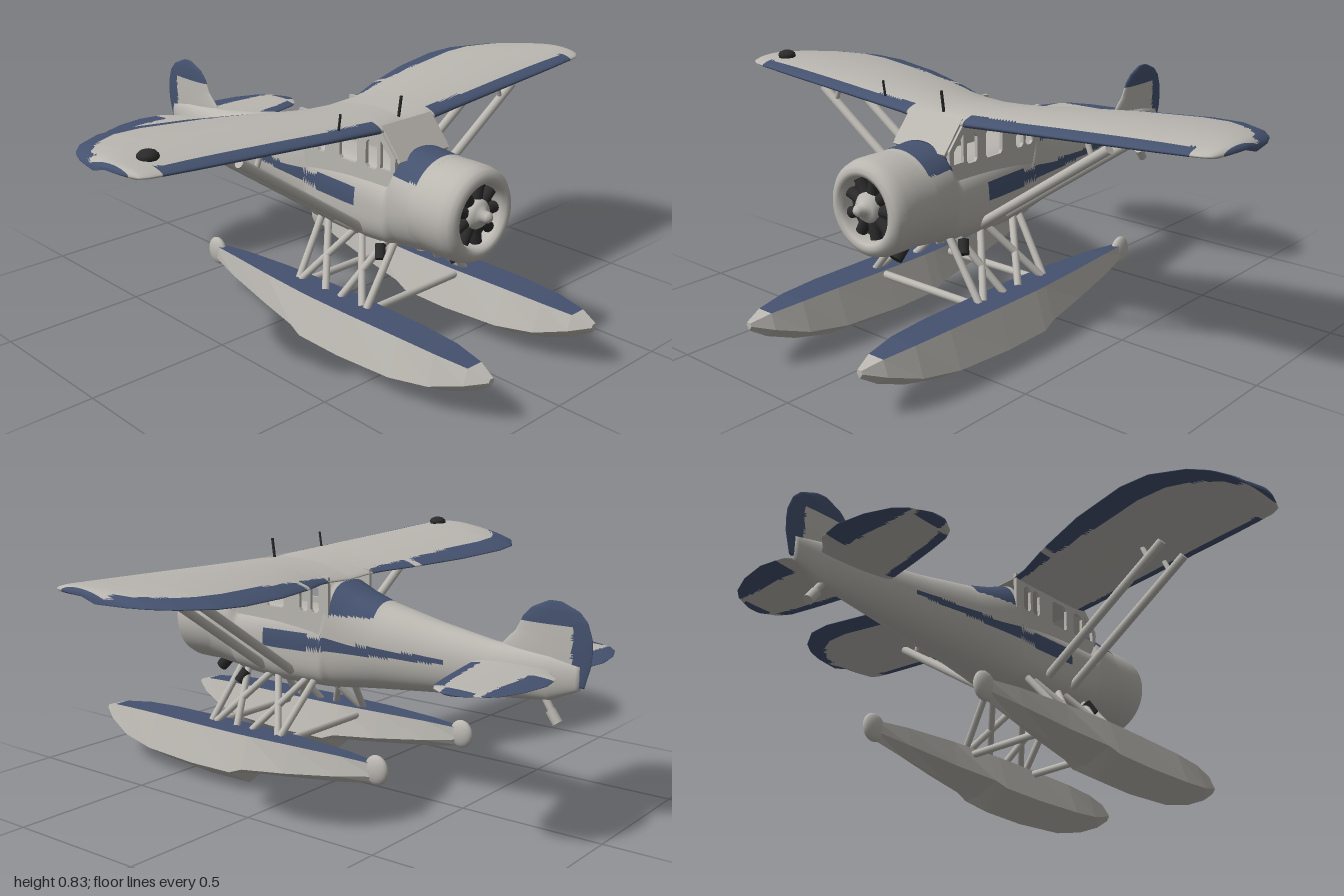
import * as THREE from 'three';

const V = (x, y, z) => new THREE.Vector3(x, y, z);
const mat = (name, color) => Object.assign(new THREE.MeshStandardMaterial({ color }), { name });
const { lerp } = THREE.MathUtils;

// Linear lookup in rows [t, a, b, ...] sorted by rising t
function at(rows, t) {
  let i = 0;
  while (i < rows.length - 2 && t > rows[i + 1][0]) i++;
  const [p, q] = [rows[i], rows[i + 1]];
  const k = THREE.MathUtils.clamp((t - p[0]) / (q[0] - p[0]), 0, 1);
  return p.slice(1).map((v, j) => lerp(v, q[j + 1], k));
}

// Skin over closed rings, with fan caps at both ends
function loft(rings) {
  const n = rings[0].length, pts = rings.flat(), index = [];
  for (let i = 0; i < rings.length - 1; i++) for (let j = 0; j < n; j++) {
    const a = i * n + j, b = i * n + (j + 1) % n;
    index.push(a, b, b + n, a, b + n, a + n);
  }
  [0, rings.length - 1].forEach((r, end) => {
    const mid = rings[r].reduce((s, p) => s.add(p), V(0, 0, 0)).divideScalar(n);
    pts.push(mid);
    for (let j = 0; j < n; j++) {
      const a = r * n + j, b = r * n + (j + 1) % n;
      index.push(pts.length - 1, ...(end ? [a, b] : [b, a]));
    }
  });
  const geo = new THREE.BufferGeometry().setFromPoints(pts);
  geo.setIndex(index);
  geo.computeVertexNormals();
  return geo;
}

// Sort faces into two material groups: 0 plain, 1 where isTrim(centre, normal)
function paint(geo, isTrim) {
  const lists = [[], []], idx = geo.index.array, pos = geo.attributes.position;
  const tri = new THREE.Triangle(), c = V(0, 0, 0), n = V(0, 0, 0);
  for (let i = 0; i < idx.length; i += 3) {
    const f = [idx[i], idx[i + 1], idx[i + 2]];
    tri.setFromAttributeAndIndices(pos, ...f);
    tri.getMidpoint(c);
    tri.getNormal(n);
    lists[isTrim(c, n) ? 1 : 0].push(...f);
  }
  geo.setIndex(lists.flat());
  geo.addGroup(0, lists[0].length, 0);
  geo.addGroup(lists[0].length, lists[1].length, 1);
  return geo;
}

// Rings of a wing-like body; place(t, chord position, half thickness offset, chord fraction)
function foil(from, to, steps, section, place) {
  const rings = [];
  for (let i = 0; i <= steps; i++) {
    const t = lerp(from, to, i / steps), [front, back, thick] = section(t), ring = [];
    for (let j = 0; j < 64; j++) {
      const a = j / 64 * Math.PI * 2, s = Math.sin(a), frac = (1 - s) / 2;
      const h = Math.cos(a) * thick / 2 * (1.15 - 0.55 * frac);
      ring.push(place(t, lerp(front, back, frac), h, frac));
    }
    rings.push(ring);
  }
  return loft(rings);
}

export function createModel() {
  const model = new THREE.Group();
  model.name = 'floatplane';
  const white = mat('warmWhite', 0xbab7b1), blue = mat('navyBlue', 0x45526f), dark = mat('darkMetal', 0x2b2b2c);
  const two = [white, blue];
  const add = (name, geo, m, x = 0, y = 0, z = 0) => {
    const mesh = new THREE.Mesh(geo, m);
    mesh.name = name;
    mesh.position.set(x, y, z);
    model.add(mesh);
    return mesh;
  };
  const rod = (name, a, b, r, m = white) => {
    const d = b.clone().sub(a), mesh = add(name, new THREE.CylinderGeometry(r, r, d.length(), 12), m);
    mesh.position.copy(a).addScaledVector(d, 0.5);
    mesh.quaternion.setFromUnitVectors(V(0, 1, 0), d.normalize());
  };

  // Fuselage: z, half width, bottom, top, squareness
  const body = [[-0.9, 0.012, 0.47, 0.55, 2], [-0.8, 0.032, 0.425, 0.57, 2], [-0.6, 0.06, 0.405, 0.585, 2],
    [-0.4, 0.083, 0.385, 0.618, 2.1], [-0.2, 0.107, 0.365, 0.66, 2.2], [-0.1, 0.117, 0.355, 0.69, 2.5],
    [-0.01, 0.125, 0.345, 0.725, 2.9], [0.01, 0.126, 0.345, 0.61, 3], [0.2, 0.136, 0.34, 0.61, 3],
    [0.385, 0.146, 0.35, 0.61, 2.6], [0.41, 0.148, 0.352, 0.685, 2.3], [0.54, 0.155, 0.364, 0.676, 2]];
  const rings = [];
  for (let i = 0; i <= 144; i++) {
    const z = -0.9 + i * 0.01, [w, lo, hi, n] = at(body, z), ring = [];
    for (let j = 0; j < 96; j++) {
      const a = j / 96 * Math.PI * 2, c = Math.cos(a), s = Math.sin(a);
      ring.push(V(w * Math.sign(c) * Math.abs(c) ** (2 / n), (lo + hi) / 2 + (hi - lo) / 2 * Math.sign(s) * Math.abs(s) ** (2 / n), z));
    }
    rings.push(ring);
  }
  add('fuselage', paint(loft(rings), ({ x, y, z }) => {
    const stripe = z < 0.25 && z > -0.46 && Math.abs(y - 0.508) < (z > 0.06 ? 0.031 : lerp(0.009, 0.02, (z + 0.46) / 0.52));
    return stripe || (z > 0.37 && z < 0.51 && y > 0.615) || (z > -0.19 && z < -0.03 && y > 0.615);
  }), two);

  // Cowling, engine and hub
  const turned = (pts) => new THREE.LatheGeometry(pts.map(([r, z]) => new THREE.Vector2(r, z)), 48).rotateX(Math.PI / 2);
  add('cowling', turned([[0.156, 0.5], [0.158, 0.58], [0.157, 0.63], [0.15, 0.657], [0.138, 0.67], [0.122, 0.677],
    [0.108, 0.672], [0.102, 0.655], [0.1, 0.6]]), white, 0, 0.52, 0);
  add('enginePlate', new THREE.CylinderGeometry(0.103, 0.103, 0.02, 40).rotateX(Math.PI / 2), dark, 0, 0.52, 0.612);
  for (let i = 0; i < 9; i++) {
    const a = i / 9 * Math.PI * 2, c = Math.cos(a), s = Math.sin(a);
    rod('engineCylinder', V(0.04 * c, 0.52 + 0.04 * s, 0.635), V(0.098 * c, 0.52 + 0.098 * s, 0.635), 0.019, dark);
  }
  add('propellerHub', turned([[0.048, 0.62], [0.048, 0.655], [0.038, 0.668], [0.02, 0.675], [0.018, 0.695], [0.01, 0.704], [0, 0.706]]), white, 0, 0.525, 0);
  rod('exhaust', V(0.02, 0.375, 0.52), V(0.02, 0.335, 0.56), 0.022, dark);

  // Cabin walls with open windows, and windscreen
  const poly = (C, pts) => new C(pts.map(([z, y]) => new THREE.Vector2(z, y)));
  const wall = poly(THREE.Shape, [[-0.03, 0.54], [0.41, 0.54], [0.415, 0.67], [0.35, 0.745], [-0.03, 0.74]]);
  wall.holes = [[0.01, 0.046], [0.058, 0.095], [0.165, 0.245], [0.285, 0.335]].map(([a, b]) =>
    poly(THREE.Path, [[a, 0.625], [a, 0.695], [a + 0.01, 0.707], [b - 0.01, 0.707], [b, 0.695], [b, 0.625], [b - 0.008, 0.615], [a + 0.008, 0.615]]));
  wall.holes.push(poly(THREE.Path, [[0.35, 0.625], [0.35, 0.715], [0.395, 0.665], [0.395, 0.625]]));
  for (const s of [-1, 1]) {
    const geo = new THREE.ExtrudeGeometry(wall, { depth: 0.012, bevelEnabled: false }).rotateY(-Math.PI / 2);
    add('cabinWall', geo, white, s * 0.115 + 0.006, 0, 0);
  }
  const screen = add('windscreen', new THREE.BoxGeometry(0.225, 0.13, 0.012), white, 0, 0.708, 0.383);
  screen.rotation.x = -0.7;

  // Wing: x, leading z, trailing z, thickness
  const plan = [[0, 0.345, -0.03, 0.06], [0.1, 0.357, -0.03, 0.06], [0.17, 0.353, -0.045, 0.058], [0.3, 0.346, -0.1, 0.056],
    [0.5, 0.335, -0.165, 0.054], [0.7, 0.324, -0.2, 0.05], [0.8, 0.318, -0.19, 0.047], [0.9, 0.31, -0.13, 0.042],
    [0.95, 0.305, -0.07, 0.038], [0.98, 0.29, 0.0, 0.032], [1, 0.22, 0.1, 0.014]];
  const wingAt = (x) => at(plan, Math.abs(x));
  add('wing', paint(foil(-1, 1, 180, wingAt, (x, z, h, f) =>
    V(x, 0.74 + 0.05 * Math.abs(x) - 0.022 * f + 0.05 * f * (1 - f) + h, z)), ({ x, z }) => {
    const a = Math.abs(x), [lead, trail] = wingAt(a);
    if (a < 0.12) return false;
    if (a > 0.96) return z < 0.06 || a > 0.988;
    const band = a < 0.5 ? lerp(0.02, 0.085, (a - 0.12) / 0.38) : 0.09;
    return (z > lead - 0.042 && a < 0.91) || (z < trail + band && (a < 0.29 || a > 0.315));
  }), two);

  // Tailplane and fin
  const tail = [[0, -0.55, -0.8, 0.03], [0.05, -0.555, -0.83, 0.03], [0.09, -0.562, -0.87, 0.028], [0.18, -0.578, -0.887, 0.026],
    [0.28, -0.598, -0.872, 0.024], [0.36, -0.617, -0.84, 0.022], [0.4, -0.64, -0.805, 0.018], [0.43, -0.69, -0.745, 0.008]];
  const tailAt = (x) => at(tail, Math.abs(x));
  add('tailplane', paint(foil(-0.43, 0.43, 110, tailAt, (x, z, h) => V(x, 0.52 + h, z)), ({ x, z }) => {
    const a = Math.abs(x);
    return (a > 0.08 && a < 0.38 && z > tailAt(a)[0] - 0.04) || (a > 0.115 && z < -0.8) || (a > 0.39 && z < -0.68 && z > -0.78);
  }), two);
  const finRows = [[0.48, -0.8, -0.915, 0.022], [0.55, -0.6, -0.934, 0.03], [0.59, -0.635, -0.937, 0.028], [0.63, -0.675, -0.935, 0.025],
    [0.68, -0.7, -0.918, 0.022], [0.71, -0.73, -0.89, 0.018], [0.735, -0.785, -0.83, 0.008]];
  // chord runs along z and thickness along x
  const fin = foil(0.48, 0.735, 50, (y) => at(finRows, y), (y, z, h) => V(-h, y, z));
  add('fin', paint(fin, ({ y, z }) => y > 0.665 || z < -0.872), two);
  rod('tailStrut', V(0, 0.44, -0.78), V(0, 0.385, -0.815), 0.012);
  rod('tailFoot', V(0, 0.395, -0.805), V(0, 0.357, -0.832), 0.017);

  // Floats: z, deck half width, deck y, chine half width, chine y, keel y
  const hull = [[-0.33, 0.012, 0.19, 0.015, 0.15, 0.125], [-0.2, 0.03, 0.197, 0.042, 0.13, 0.1], [0, 0.05, 0.2, 0.07, 0.105, 0.072],
    [0.17, 0.06, 0.2, 0.095, 0.09, 0.05], [0.22, 0.062, 0.2, 0.103, 0.072, 0.008], [0.4, 0.062, 0.2, 0.104, 0.07, 0.005],
    [0.62, 0.058, 0.2, 0.099, 0.08, 0.02], [0.76, 0.05, 0.196, 0.08, 0.1, 0.055], [0.87, 0.03, 0.186, 0.048, 0.135, 0.1], [0.935, 0.008, 0.168, 0.012, 0.158, 0.142]];
  const hullGeo = paint(loft(hull.map(([z, d, dy, c, cy, k]) =>
    [V(d, dy, z), V(-d, dy, z), V(-c, cy, z), V(0, k, z), V(c, cy, z)])), (p, n) => n.y > 0.9 && p.z < 0.85).toNonIndexed();
  hullGeo.computeVertexNormals();

  for (const s of [-1, 1]) {
    const float = add('float', hullGeo, two, s * 0.25, 0, 0);
    float.name = s > 0 ? 'leftFloat' : 'rightFloat';
    add('floatRudder', new THREE.SphereGeometry(0.05, 24, 16).scale(0.42, 1, 0.9), white, s * 0.25, 0.168, -0.33);
    // Float legs: fuselage z to deck z
    for (const [top, foot] of [[0.39, 0.41], [0.36, 0.29], [0.24, 0.39], [0.22, 0.1], [0.08, 0.22], [0.05, 0.09]])
      rod('floatLeg', V(s * 0.09, 0.38, top), V(s * 0.235, 0.195, foot), 0.0125);
    rod('boardingStep', V(s * 0.115, 0.365, 0.35), V(s * 0.135, 0.325, 0.37), 0.018, dark);
    // Wing struts with short braces at the top
    for (const z of [0.27, 0.14]) {
      rod('wingStrut', V(s * 0.12, 0.4, z - 0.005), V(s * 0.62, 0.742, z), 0.016);
      rod('strutBrace', V(s * 0.56, 0.7, z), V(s * 0.54, 0.75, z), 0.009);
    }
  }
  for (const [z, y] of [[0.41, 0.185], [0.09, 0.175]]) rod('spreaderBar', V(-0.25, y, z), V(0.25, y, z), 0.013);

  // Small fittings on the wing
  rod('centreAerial', V(0, 0.76, 0.31), V(0, 0.83, 0.32), 0.005, dark);
  rod('sideAerial', V(-0.265, 0.76, 0.31), V(-0.265, 0.825, 0.32), 0.004, dark);
  add('wingLamp', new THREE.SphereGeometry(0.033, 10, 8).scale(1, 0.6, 1), dark, -0.89, 0.812, 0.21);
  return model;
}
